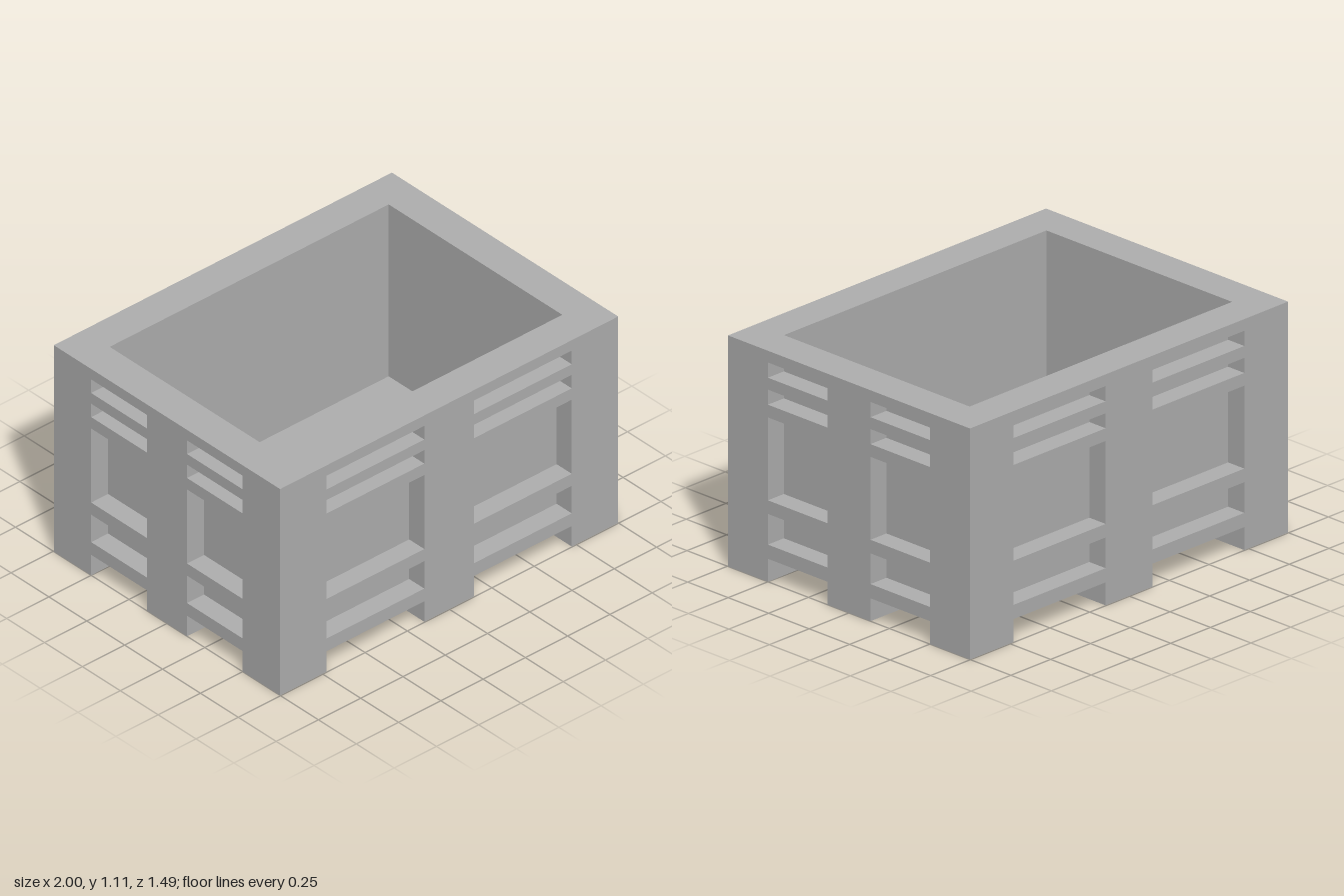
import * as THREE from 'three';

const W = 1, D = 0.747, H = 1.106;      // half width, half depth, height
const IN_X = 0.825, IN_Z = 0.573;       // half size of the inner basin
const BASE = 0.11, FLOOR = 0.185;       // underside of hull, basin floor
const POCKET = 0.1;                     // depth of the wall recesses
const ROWS = [[0.178, 0.325], [0.39, 0.787], [0.848, 0.92], [0.977, 1.05]];
const SPAN_X = [0.147, 0.725], SPAN_Z = [0.133, 0.5]; // recess extents from the centre

const plastic = new THREE.MeshStandardMaterial({ color: 0xb0b0b0 });
plastic.name = 'grey plastic';

function add(parent, name, geometry) {
  const mesh = new THREE.Mesh(geometry, plastic);
  mesh.name = name;
  parent.add(mesh);
  return mesh;
}

function rect(x0, y0, x1, y1, Type = THREE.Path) {
  const p = new Type();
  p.moveTo(x0, y0);
  p.lineTo(x1, y0);
  p.lineTo(x1, y1);
  p.lineTo(x0, y1);
  p.closePath();
  return p;
}

// Box lacking some faces (0 +x, 1 -x, 2 +y, 3 -y, 4 +z, 5 -z), optionally facing inward
function openBox(w, h, d, dropped, inward = false) {
  const g = new THREE.BoxGeometry(w, h, d);
  const index = [];
  for (let f = 0; f < 6; f++) {
    if (dropped.includes(f)) continue;
    const tri = Array.from(g.index.array.slice(f * 6, f * 6 + 6));
    index.push(...(inward ? tri.reverse() : tri));
  }
  g.clearGroups();
  g.setIndex(index);
  const flat = g.toNonIndexed();
  flat.computeVertexNormals();
  return flat;
}

// One wall facing +z: outer skin with foot notches, and its recesses
function makeWall(name, half, [a, b]) {
  const wall = new THREE.Group();
  wall.name = name;
  const outline = [[-half, 0], [-b, 0], [-b, BASE], [-a, BASE], [-a, 0], [a, 0], [a, BASE],
    [b, BASE], [b, 0], [half, 0], [half, H], [-half, H]];
  const skin = new THREE.Shape(outline.map(([x, y]) => new THREE.Vector2(x, y)));
  for (const side of [-1, 1]) {
    for (const [y0, y1] of ROWS) {
      const x0 = side > 0 ? a : -b, x1 = side > 0 ? b : -a;
      skin.holes.push(rect(x0, y0, x1, y1));
      add(wall, 'recess', openBox(b - a, y1 - y0, POCKET, [4], true))
        .position.set((x0 + x1) / 2, (y0 + y1) / 2, -POCKET / 2);
    }
  }
  add(wall, 'wallSkin', new THREE.ShapeGeometry(skin));
  return wall;
}

export function createModel() {
  const crate = new THREE.Group();
  crate.name = 'palletCrate';

  // Four walls
  [['frontWall', W, SPAN_X, D, 0], ['leftWall', D, SPAN_Z, W, 1],
    ['backWall', W, SPAN_X, D, 2], ['rightWall', D, SPAN_Z, W, 3]].forEach(([name, half, span, dist, turn]) => {
    const wall = makeWall(name, half, span);
    const angle = turn * Math.PI / 2;
    wall.rotation.y = angle;
    wall.position.set(Math.sin(angle) * dist, 0, Math.cos(angle) * dist);
    crate.add(wall);
  });

  // Top rim
  const ring = rect(-W, -D, W, D, THREE.Shape);
  ring.holes.push(rect(-IN_X, -IN_Z, IN_X, IN_Z));
  const rim = add(crate, 'rim', new THREE.ShapeGeometry(ring));
  rim.rotation.x = -Math.PI / 2;
  rim.position.y = H;

  // Inner basin, open at the top
  add(crate, 'basin', openBox(IN_X * 2, H - FLOOR, IN_Z * 2, [2], true)).position.y = (H + FLOOR) / 2;

  // Underside
  const underside = add(crate, 'underside', new THREE.PlaneGeometry(W * 2, D * 2));
  underside.rotation.x = Math.PI / 2;
  underside.position.y = BASE;

  // Eight feet around the edge; their outer faces belong to the walls
  const cornerW = W - SPAN_X[1], cornerD = D - SPAN_Z[1];
  for (const sx of [-1, 0, 1]) {
    for (const sz of [-1, 0, 1]) {
      if (!sx && !sz) continue;
      const w = sx ? cornerW : SPAN_X[0] * 2, d = sz ? cornerD : SPAN_Z[0] * 2;
      const dropped = [2];
      if (sx) dropped.push(sx > 0 ? 0 : 1);
      if (sz) dropped.push(sz > 0 ? 4 : 5);
      add(crate, 'foot', openBox(w, BASE, d, dropped))
        .position.set(sx * (W - w / 2), BASE / 2, sz * (D - d / 2));
    }
  }
  return crate;
}
